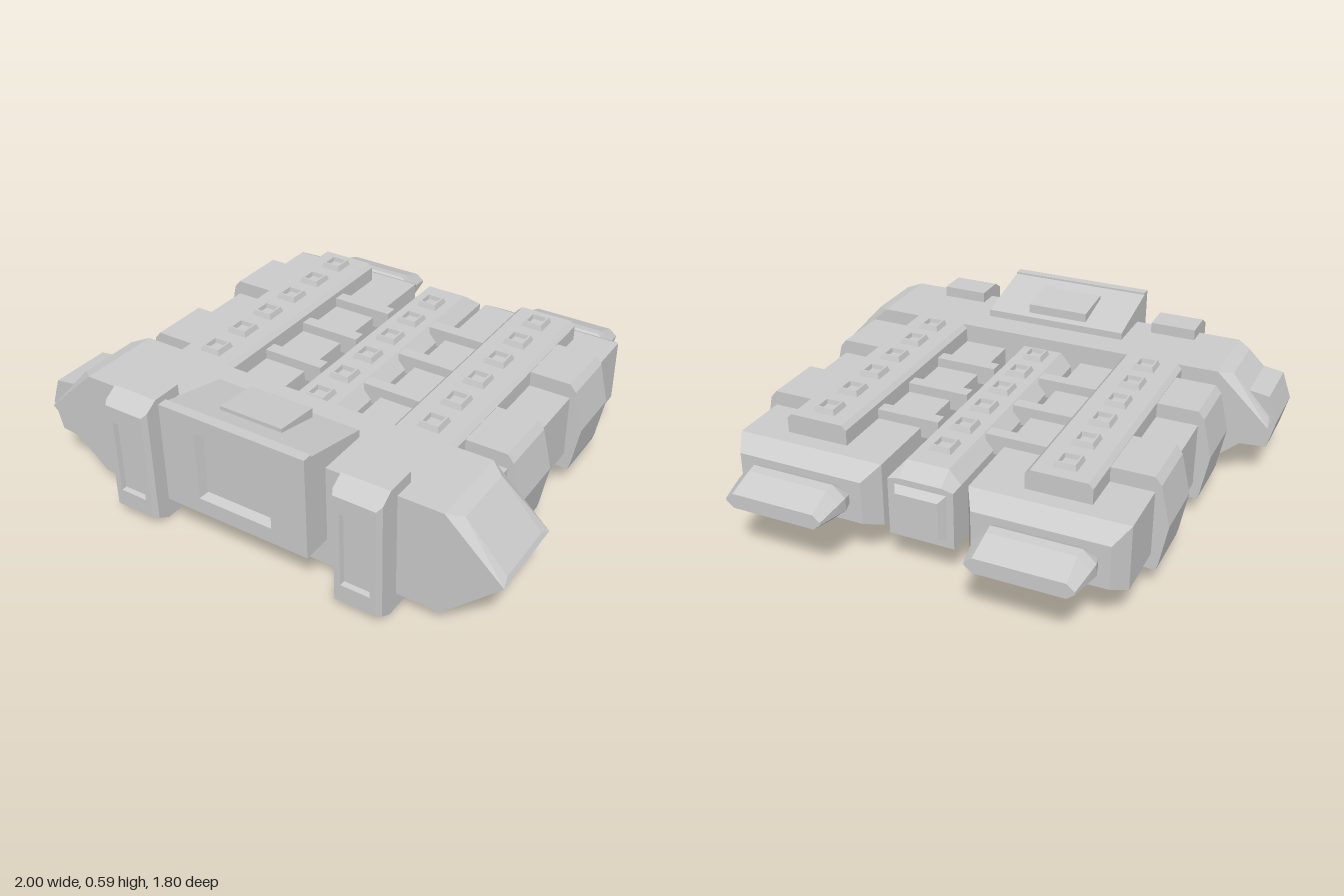
import * as THREE from 'three';
import { ConvexGeometry } from 'three/addons/geometries/ConvexGeometry.js';

const material = new THREE.MeshStandardMaterial({ color: 0xcccccc, flatShading: true });

function add(parent, name, geometry) {
  const mesh = new THREE.Mesh(geometry, material);
  mesh.name = name;
  parent.add(mesh);
  return mesh;
}

function box(x0, x1, y0, y1, z0, z1) {
  return new THREE.BoxGeometry(x1 - x0, y1 - y0, z1 - z0)
    .translate((x0 + x1) / 2, (y0 + y1) / 2, (z0 + z1) / 2);
}

// Extrudes an [x, y] outline from z0 to z1
function alongZ(points, z0, z1) {
  const shape = new THREE.Shape(points.map(([x, y]) => new THREE.Vector2(x, y)));
  return new THREE.ExtrudeGeometry(shape, { depth: z1 - z0, bevelEnabled: false }).translate(0, 0, z0);
}

// Extrudes a [z, y] outline from x0 to x1
function alongX(points, x0, x1) {
  return alongZ(points.map(([z, y]) => [-z, y]), x0, x1).rotateY(Math.PI / 2);
}

// Cross-section at z: a rectangle, optionally with its corners cut by cx and cy
function section(x0, x1, y0, y1, z, cx = 0, cy = 0) {
  if (!cx) return [[x0, y0, z], [x1, y0, z], [x1, y1, z], [x0, y1, z]];
  return [[x0 + cx, y0, z], [x1 - cx, y0, z], [x1, y0 + cy, z], [x1, y1 - cy, z],
    [x1 - cx, y1, z], [x0 + cx, y1, z], [x0, y1 - cy, z], [x0, y0 + cy, z]];
}

// Joins anticlockwise cross-sections towards +z and caps both ends
function loft(sections) {
  const n = sections[0].length;
  const positions = sections.flat(2);
  const index = [];
  for (let i = 0; i < sections.length - 1; i++) {
    for (let j = 0; j < n; j++) {
      const a = i * n + j, b = i * n + (j + 1) % n;
      index.push(a, b, b + n, a, b + n, a + n);
    }
  }
  const last = (sections.length - 1) * n;
  for (let j = 1; j < n - 1; j++) {
    index.push(0, j + 1, j, last, last + j, last + j + 1);
  }
  const geometry = new THREE.BufferGeometry();
  geometry.setAttribute('position', new THREE.Float32BufferAttribute(positions, 3));
  geometry.setIndex(index);
  const flat = geometry.toNonIndexed();
  flat.computeVertexNormals();
  return flat;
}

// Raised rim around a tapered recess, facing +z
function recessedPanel([x0, x1, y0, y1], [a0, a1, b0, b1], zBack, zFront, zFloor, outer, inner) {
  return loft([
    section(x0 - outer, x1 + outer, y0 - outer, y1 + outer, zBack),
    section(x0, x1, y0, y1, zFront),
    section(a0, a1, b0, b1, zFront),
    section(a0 + inner, a1 - inner, b0 + inner, b1 - inner, zFloor),
  ]);
}

function buttonRow(parent, x, y) {
  const geometry = recessedPanel([-0.038, 0.038, -0.038, 0.038], [-0.03, 0.03, -0.03, 0.03],
    0, 0.022, 0.004, 0.007, 0.003).rotateX(-Math.PI / 2);
  for (let i = 0; i < 6; i++) {
    add(parent, 'button', geometry).position.set(x, y, -0.48 + i * 0.168);
  }
}

// Everything repeated on both sides; s is +1 or -1
function buildSide(s) {
  const side = new THREE.Group();
  side.name = s > 0 ? 'leftSide' : 'rightSide';
  const span = (a, b) => (s > 0 ? [a, b] : [-b, -a]);
  const flip = (points) => points.map(([x, y]) => [s * x, y]);

  // Long side pod with a chamfered rear end
  const [p0, p1] = span(0.175, 0.783);
  add(side, 'sidePod', loft([
    section(p0 + 0.045, p1 - 0.045, 0.19, 0.365, -0.725),
    section(p0, p1, 0.15, 0.41, -0.645),
    section(p0, p1, 0.15, 0.41, 0.46),
  ]));
  add(side, 'deckStrip', alongZ(flip([[0.36, 0.4], [0.615, 0.4], [0.615, 0.472],
    [0.597, 0.49], [0.378, 0.49], [0.36, 0.472]]), -0.578, 0.46));
  buttonRow(side, s * 0.487, 0.49);

  // Clamps wrapped round the outer edge of the pod
  const clamp = flip([[0.612, 0.085], [0.805, 0.085], [0.812, 0.11], [0.843, 0.28],
    [0.805, 0.44], [0.78, 0.47], [0.612, 0.47]]);
  for (const z of [-0.41, 0.115]) add(side, 'clamp', alongZ(clamp, z, z + 0.245));

  // Rear nozzle
  const [n0, n1] = span(0.262, 0.702);
  add(side, 'rearNozzle', loft([
    section(n0 + 0.02, n1 - 0.02, 0.25, 0.31, -0.905, 0.03, 0.025),
    section(n0 + 0.004, n1 - 0.004, 0.22, 0.35, -0.80, 0.05, 0.045),
    section(n0, n1, 0.215, 0.355, -0.762, 0.05, 0.045),
    section(n0 + 0.01, n1 - 0.01, 0.24, 0.33, -0.715, 0.05, 0.03),
  ]));

  // Bridges to the central pod
  const [b0, b1] = span(0.1, 0.37);
  for (const z of [-0.343, -0.095, 0.16]) add(side, 'bridge', box(b0, b1, 0.37, 0.45, z, z + 0.053));

  // Raised plate on the sloping end of the front bar
  const plate = [[0.765, 0.49, 0.44], [0.765, 0.49, 0.78], [0.99, 0.28, 0.44], [0.99, 0.28, 0.78],
    [0.82, 0.475, 0.485], [0.82, 0.475, 0.74], [0.98, 0.3, 0.485], [0.98, 0.3, 0.74]];
  add(side, 'barEndPlate', new ConvexGeometry(plate.map(([x, y, z]) => new THREE.Vector3(s * x, y, z))));

  // Upright front bumper with a recessed face
  const [u0, u1] = span(0.398, 0.59);
  add(side, 'bumperBody', alongX([[0.695, 0], [0.82, 0], [0.87, 0.03], [0.87, 0.503],
    [0.82, 0.535], [0.695, 0.535]], u0, u1));
  add(side, 'bumperFace', recessedPanel([u0 + 0.012, u1 - 0.012, 0.042, 0.491],
    [u0 + 0.037, u1 - 0.037, 0.115, 0.423], 0.87, 0.892, 0.872, 0.012, 0.004));
  return side;
}

export function createModel() {
  const model = new THREE.Group();
  model.name = 'model';
  const body = new THREE.Group();
  body.name = 'body';
  body.position.x = 0.01;
  model.add(body);

  // Front crossbar with wedge-shaped ends
  add(body, 'frontBar', alongZ([[-0.99, 0.28], [-0.74, 0.065], [0.765, 0.065], [0.99, 0.28],
    [0.765, 0.49], [-0.765, 0.49]], 0.44, 0.78));
  add(body, 'barEndBlock', alongZ([[-0.8, 0.15], [-0.87, 0.15], [-0.98, 0.16], [-1.01, 0.28],
    [-0.97, 0.39], [-0.87, 0.405], [-0.8, 0.405]], 0.505, 0.755));

  // Central pod with sloping shoulders and a small rear hatch
  const pod = (inset, z, top) => [[-0.132 + inset, 0.15 + inset, z], [0.132 - inset, 0.15 + inset, z],
    [0.132 - inset, 0.385 - inset / 2, z], [0.085, top, z], [-0.085, top, z],
    [-0.132 + inset, 0.385 - inset / 2, z]];
  add(body, 'centrePod', loft([pod(0, -0.68, 0.395), pod(0, -0.615, 0.44), pod(0, 0.46, 0.44)]));
  add(body, 'rearHatch', loft([
    section(-0.085, 0.085, 0.2, 0.35, -0.713),
    section(-0.107, 0.107, 0.18, 0.372, -0.675),
  ]));
  buttonRow(body, 0, 0.44);

  // Front shield with a recessed window and a pad on its sloping top
  add(body, 'shieldBody', alongX([[0.86, 0.18], [0.86, 0.586], [0.568, 0.52], [0.568, 0.4],
    [0.7, 0.18]], -0.308, 0.308));
  add(body, 'shieldFace', recessedPanel([-0.308, 0.308, 0.18, 0.594], [-0.158, 0.158, 0.245, 0.53],
    0.86, 0.9, 0.865, 0, 0.012));
  add(body, 'shieldPad', alongX([[0.598, 0.5], [0.78, 0.54], [0.78, 0.583], [0.598, 0.565]], -0.132, 0.132));

  body.add(buildSide(1), buildSide(-1));
  return model;
}
